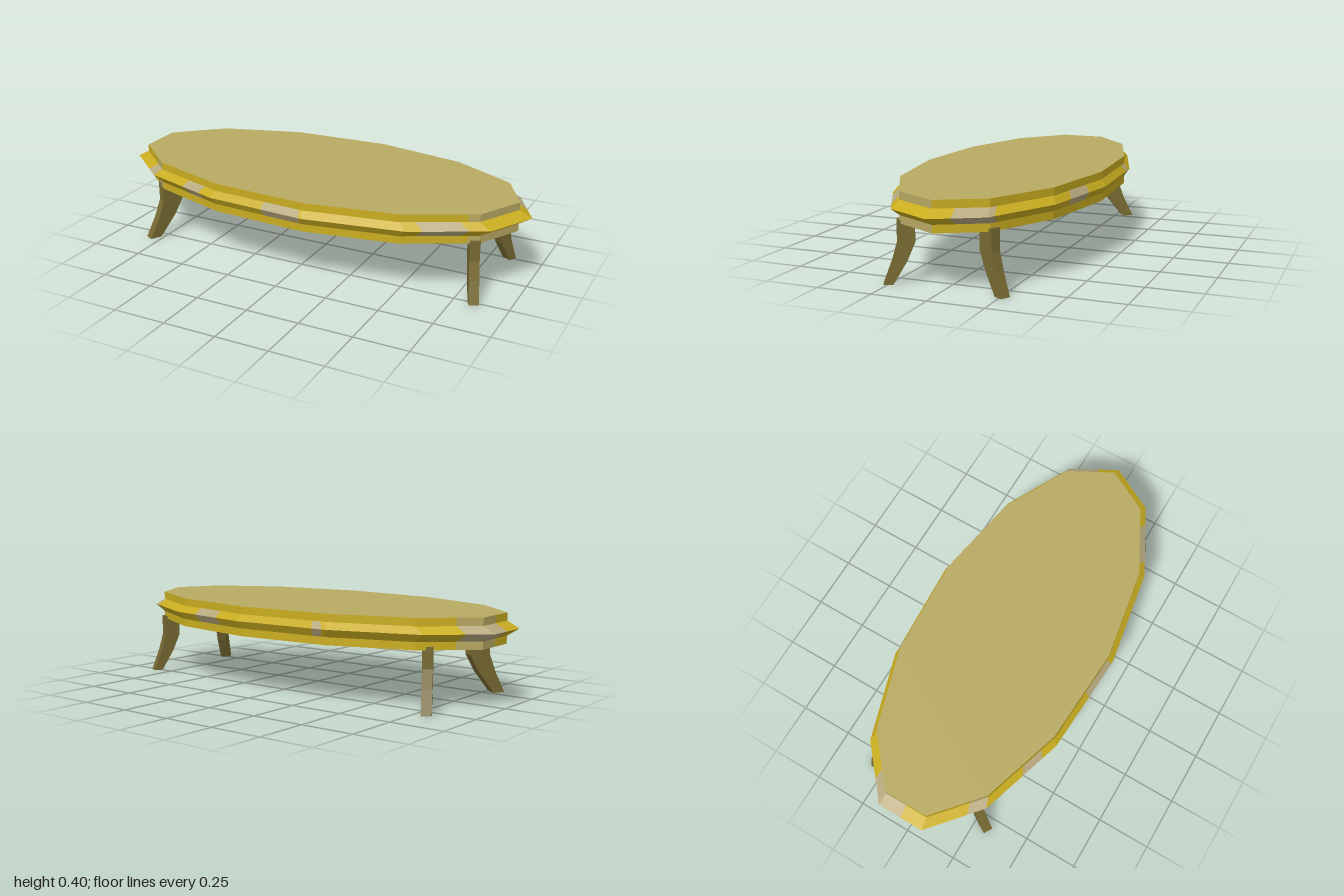
import * as THREE from 'three';

const SIDES = 13;
const mat = (name, color, flatShading = true) => {
  const m = new THREE.MeshStandardMaterial({ color, flatShading });
  m.name = name;
  return m;
};

// Point on the 13-sided oval; t counts sides from +x towards +z
function ovalPoint(t, rx, rz, shift) {
  const corner = (i) => {
    const a = (i / SIDES) * Math.PI * 2;
    return new THREE.Vector2(rx * Math.cos(a) + shift, rz * Math.sin(a));
  };
  const i = Math.floor(t);
  return corner(i).lerp(corner(i + 1), t - i);
}

const OUTER = [1.0147, 0.459, -0.0147];
const INNER = [0.957, 0.436, -0.015];

// Rim bands from bottom to top: [y, ring]
const PROFILE = [[0.26, INNER], [0.295, INNER], [0.33, OUTER], [0.36, INNER], [0.395, INNER]];

// Pale worn patches, as ranges of t
const RIDGE_PATCHES = [[1.25, 1.8], [3.03, 3.43], [4.2, 4.48], [5, 5.3], [6.5, 7.4], [9.05, 9.15], [10.35, 10.7], [11.9, 12.6]];
const EDGE_PATCHES = [[0, 1.15], [5, 5.3], [6.5, 7.4]];

// One band of the rim, cut at every corner and patch border
function rimBand([y0, r0], [y1, r1], patches, inPatch) {
  const stops = new Set(Array.from({ length: SIDES + 1 }, (_, i) => i));
  patches.flat().forEach((t) => stops.add(t));
  const cuts = [...stops].sort((a, b) => a - b);
  const pos = [];
  for (let i = 0; i < cuts.length - 1; i++) {
    const [t0, t1] = [cuts[i], cuts[i + 1]];
    const mid = (t0 + t1) / 2;
    if (patches.some(([a, b]) => mid > a && mid < b) !== inPatch) continue;
    const v = (t, y, ring) => {
      const p = ovalPoint(t, ...ring);
      return [p.x, y, p.y];
    };
    // keep the end of a side on that same side
    const a = v(t0, y0, r0), b = v(t1, y0, r0), c = v(t1, y1, r1), d = v(t0, y1, r1);
    pos.push(...b, ...a, ...d, ...b, ...d, ...c);
  }
  const g = new THREE.BufferGeometry();
  g.setAttribute('position', new THREE.Float32BufferAttribute(pos, 3));
  g.computeVertexNormals();
  return g;
}

export function createModel() {
  const model = new THREE.Group();
  model.name = 'ovalTable';
  const gold = mat('gold', 0xc9ad20);
  const pale = mat('paleWear', 0xb9ab80);
  const tan = mat('tanTop', 0xb8a962);
  const wood = mat('darkLeg', 0x776a32);

  const add = (parent, name, geometry, material) => {
    const mesh = new THREE.Mesh(geometry, material);
    mesh.name = name;
    parent.add(mesh);
    return mesh;
  };

  // Tabletop rim with a pointed ridge between two upright edges
  const top = new THREE.Group();
  top.name = 'tabletop';
  model.add(top);
  ['lowerEdge', 'lowerRidge', 'upperRidge', 'upperEdge'].forEach((name, i) => {
    const ridge = name.endsWith('Ridge');
    const patches = ridge ? RIDGE_PATCHES : EDGE_PATCHES;
    add(top, name, rimBand(PROFILE[i], PROFILE[i + 1], patches, false), gold);
    add(top, name + 'Wear', rimBand(PROFILE[i], PROFILE[i + 1], patches, true), ridge ? pale : tan);
  });

  // Flat top and underside
  const outline = new THREE.Shape(Array.from({ length: SIDES }, (_, i) => ovalPoint(i, ...INNER)));
  const upper = new THREE.ShapeGeometry(outline).rotateX(-Math.PI / 2).translate(0, 0.395, 0);
  const under = new THREE.ShapeGeometry(outline).rotateX(Math.PI / 2).translate(0, 0.26, 0);
  add(top, 'topSurface', upper, tan);
  add(top, 'underside', under, tan);

  // Curved legs, sweeping outwards to the foot
  const legShape = new THREE.Shape([
    [-0.05, 0.275], [-0.05, 0.18], [-0.005, 0.1], [0.075, 0],
    [0.13, 0], [0.08, 0.1], [0.05, 0.18], [0.05, 0.275],
  ].map(([x, y]) => new THREE.Vector2(x, y)));
  const legGeometry = new THREE.ExtrudeGeometry(legShape, { depth: 0.045, bevelEnabled: false });
  legGeometry.translate(0, 0, -0.0225);

  const legs = [
    { name: 'RightLeg', x: -0.746, z: 0.213, dx: -0.5, dz: 0.86, reach: 1 },
    { name: 'LeftLeg', x: 0.806, z: 0.188, dx: 0.45, dz: 0.89, reach: 0.75 },
  ];
  for (const leg of legs) {
    for (const [end, s] of [['front', 1], ['back', -1]]) {
      const mesh = add(model, end + leg.name, legGeometry, wood);
      mesh.position.set(leg.x, 0, s * leg.z);
      mesh.rotation.y = Math.atan2(-s * leg.dz, leg.dx);
      mesh.scale.x = leg.reach;
    }
  }
  return model;
}
